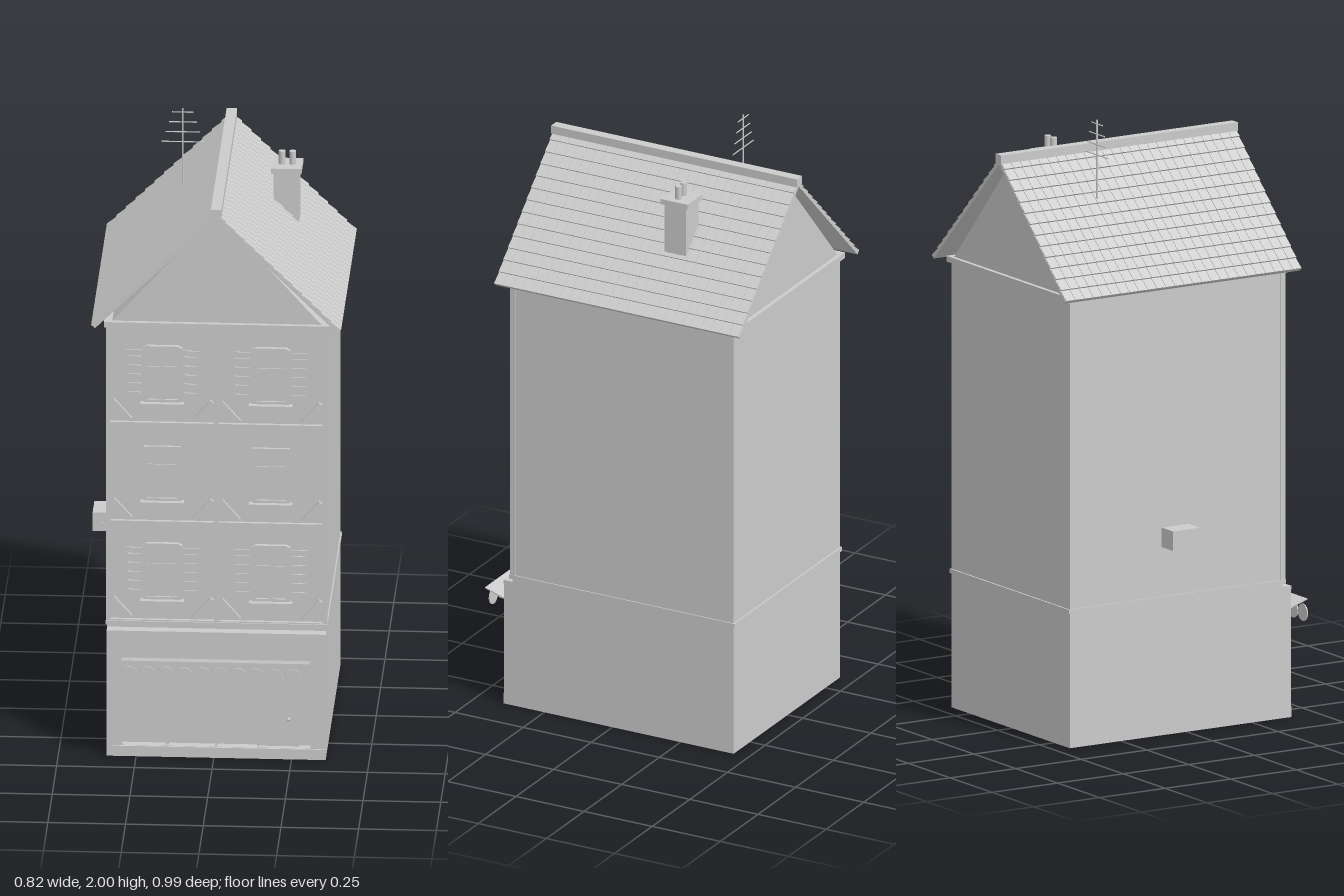
import * as THREE from 'three';
import { mergeGeometries } from 'three/addons/utils/BufferGeometryUtils.js';

const grey = new THREE.MeshStandardMaterial({ color: 0xcccccc });
const CX = 0.008; // centre line of the house

// Box from its lower and upper corners
function boxGeo(x0, x1, y0, y1, z0, z1) {
  return new THREE.BoxGeometry(x1 - x0, y1 - y0, z1 - z0)
    .translate((x0 + x1) / 2, (y0 + y1) / 2, (z0 + z1) / 2);
}

function add(parent, name, geo) {
  const mesh = new THREE.Mesh(Array.isArray(geo) ? mergeGeometries(geo) : geo, grey);
  mesh.name = name;
  parent.add(mesh);
  return mesh;
}

function rect(Type, x0, x1, y0, y1) {
  return new Type([[x0, y0], [x1, y0], [x1, y1], [x0, y1]].map(p => new THREE.Vector2(...p)));
}

// Rectangular frame with an opening, lying between two depths
function frameGeo(outer, inner, z0, z1) {
  const shape = rect(THREE.Shape, ...outer);
  shape.holes.push(rect(THREE.Path, ...inner));
  return new THREE.ExtrudeGeometry(shape, { depth: z1 - z0, bevelEnabled: false }).translate(0, 0, z0);
}

// Square beam between two points in the facade plane
function beamGeo(xa, ya, xb, yb, width, z0, z1) {
  const dx = xb - xa, dy = yb - ya;
  return new THREE.BoxGeometry(Math.hypot(dx, dy), width, z1 - z0)
    .rotateZ(Math.atan2(dy, dx)).translate((xa + xb) / 2, (ya + yb) / 2, (z0 + z1) / 2);
}

function makeWindow(shutters, height) {
  const g = new THREE.Group();
  g.name = 'window';
  const w = 0.054, h = height;
  add(g, 'windowFrame', frameGeo([-w - 0.006, w + 0.006, 0, h], [-w + 0.006, w - 0.006, 0.012, h - 0.012], 0.36, 0.371));
  add(g, 'windowBars', [
    boxGeo(-0.003, 0.003, 0.01, h - 0.01, 0.36, 0.368),
    boxGeo(-w, w, h * 0.64, h * 0.64 + 0.006, 0.36, 0.368),
  ]);
  add(g, 'windowGlass', boxGeo(-w, w, 0.005, h - 0.005, 0.355, 0.364));
  add(g, 'windowSill', boxGeo(-0.07, 0.07, -0.008, 0.003, 0.355, 0.388));
  if (shutters) {
    const lintel = new THREE.Shape([[-0.064, h - 0.004], [0.064, h - 0.004], [0.064, h + 0.004],
      [0.05, h + 0.012], [-0.05, h + 0.012], [-0.064, h + 0.004]].map(p => new THREE.Vector2(...p)));
    add(g, 'lintel', new THREE.ExtrudeGeometry(lintel, { depth: 0.016, bevelEnabled: false }).translate(0, 0, 0.359));
    for (const s of [-1, 1]) {
      const x0 = s > 0 ? 0.062 : -0.119, x1 = x0 + 0.057;
      const parts = [boxGeo(x0, x1, 0.004, h - 0.006, 0.358, 0.366)];
      for (let i = 0; i < 5; i++) {
        const y = 0.012 + i * (h - 0.03) / 5;
        parts.push(boxGeo(x0 + 0.006, x1 - 0.006, y, y + (h - 0.03) / 5 - 0.007, 0.36, 0.371));
      }
      add(g, s > 0 ? 'leftShutter' : 'rightShutter', parts);
    }
  }
  return g;
}

function makeFacade() {
  const g = new THREE.Group();
  g.name = 'facade';
  const floors = [0.455, 0.795, 1.135, 1.472];
  const posts = [-0.341, 0.007, 0.356];
  // Timber posts and rails
  add(g, 'posts', posts.map(x => boxGeo(x - 0.007, x + 0.007, 0.45, 1.475, 0.355, 0.374)));
  add(g, 'rails', floors.map(y => boxGeo(-0.345, 0.36, y - 0.006, y + 0.006, 0.355, 0.373)));
  // Corner braces and windows of every bay
  const braces = [];
  for (let f = 0; f < 3; f++) {
    for (let c = 0; c < 2; c++) {
      const x0 = posts[c] + 0.01, x1 = posts[c + 1] - 0.01, y = floors[f] + 0.01;
      braces.push(beamGeo(x0 + 0.004, y + 0.07, x0 + 0.062, y + 0.004, 0.013, 0.355, 0.373));
      braces.push(beamGeo(x1 - 0.004, y + 0.07, x1 - 0.062, y + 0.004, 0.013, 0.355, 0.373));
      const win = makeWindow(f !== 1, f === 1 ? 0.19 : 0.185);
      win.position.set((x0 + x1) / 2, floors[f] + 0.073, 0);
      g.add(win);
    }
  }
  add(g, 'braces', braces);
  return g;
}

function makeShop() {
  const g = new THREE.Group();
  g.name = 'shopFront';
  add(g, 'shopSurround', frameGeo([-0.333, 0.35, 0, 0.425], [-0.295, 0.31, 0.036, 0.36], 0.36, 0.393));
  add(g, 'plinth', boxGeo(-0.345, 0.36, 0, 0.035, 0.36, 0.4));
  add(g, 'cornerPilasters', [boxGeo(-0.345, -0.328, 0, 0.425, 0.36, 0.398), boxGeo(0.343, 0.36, 0, 0.425, 0.36, 0.398)]);
  add(g, 'fascia', boxGeo(-0.345, 0.36, 0.42, 0.432, 0.36, 0.4));
  add(g, 'shopMullions', [-0.15, 0.007, 0.165].map((x, i) =>
    boxGeo(x - 0.004, x + 0.004, i === 2 ? 0.265 : 0.036, 0.36, 0.36, 0.384)));
  // Door with a round knob
  add(g, 'door', boxGeo(0.145, 0.265, 0.036, 0.262, 0.36, 0.376));
  add(g, 'doorFrame', frameGeo([0.138, 0.272, 0.034, 0.269], [0.145, 0.265, 0.036, 0.262], 0.36, 0.382));
  add(g, 'doorKnob', new THREE.SphereGeometry(0.006, 12, 8).translate(0.24, 0.13, 0.38));
  // Awning tilted up towards the street, with a scalloped edge
  const awning = add(g, 'awning', new THREE.BoxGeometry(0.607, 0.004, 0.112));
  awning.position.set(CX + 0.002, 0.35, 0.44);
  awning.rotation.x = -0.32;
  const discs = [];
  for (let i = 0; i < 10; i++) {
    discs.push(new THREE.CylinderGeometry(0.028, 0.028, 0.004, 24).rotateX(Math.PI / 2)
      .translate(-0.267 + i * 0.0583, 0.319, 0.493));
  }
  add(g, 'awningScallops', discs);
  return g;
}

function makeRoof() {
  const g = new THREE.Group();
  g.name = 'roof';
  const run = 0.4, rise = 0.395, len = Math.hypot(run, rise), angle = Math.atan2(rise, run);
  const rows = 13, cols = 26, z0 = -0.49, z1 = 0.408;
  const step = len / rows, tileW = (z1 - z0) / cols;
  for (const s of [-1, 1]) {
    const side = new THREE.Group();
    side.name = s > 0 ? 'leftRoofSlope' : 'rightRoofSlope';
    // Each slope is made flat along +x, then tilted down from the ridge
    add(side, 'roofDeck', boxGeo(0, len, -0.015, -0.006, z0, z1));
    const tiles = [];
    for (let r = 0; r < rows; r++) {
      for (let c = 0; c < cols; c++) {
        tiles.push(new THREE.BoxGeometry(step * 1.08, 0.005, tileW - 0.003).rotateZ(0.12)
          .translate((r + 0.5) * step, -0.0035, z0 + (c + 0.5) * tileW));
      }
      tiles.push(new THREE.BoxGeometry(step * 1.05, 0.004, z1 - z0).rotateZ(0.12)
        .translate((r + 0.5) * step, -0.005, (z0 + z1) / 2));
    }
    add(side, 'roofTiles', tiles);
    side.rotation.set(0, s > 0 ? 0 : Math.PI, -angle, 'YXZ');
    side.position.set(CX, 1.882, s > 0 ? 0 : z0 + z1);
    g.add(side);
  }
  add(g, 'ridgeCap', boxGeo(CX - 0.017, CX + 0.017, 1.865, 1.893, -0.492, 0.41));
  return g;
}

export function createModel() {
  const model = new THREE.Group();
  model.name = 'townHouse';
  // Walls, bands and gable
  add(model, 'groundFloorWalls', boxGeo(-0.345, 0.36, 0, 0.45, -0.445, 0.366));
  add(model, 'upperWalls', boxGeo(-0.345, 0.36, 0.45, 1.48, -0.445, 0.361));
  add(model, 'floorBand', boxGeo(-0.349, 0.364, 0.443, 0.457, -0.451, 0.377));
  add(model, 'eavesCornice', boxGeo(-0.355, 0.37, 1.468, 1.487, -0.459, 0.38));
  const gable = new THREE.Shape([[-0.33, 1.485], [0.346, 1.485], [CX, 1.862]].map(p => new THREE.Vector2(...p)));
  add(model, 'gable', new THREE.ExtrudeGeometry(gable, { depth: 0.81, bevelEnabled: false }).translate(0, 0, -0.445));
  model.add(makeFacade(), makeShop(), makeRoof());

  // Chimney with two pots
  const chimney = new THREE.Group();
  chimney.name = 'chimney';
  add(chimney, 'chimneyStack', boxGeo(0.163, 0.245, 1.62, 1.822, -0.207, -0.127));
  add(chimney, 'chimneyCap', boxGeo(0.155, 0.253, 1.815, 1.833, -0.217, -0.118));
  add(chimney, 'chimneyPots', [0.188, 0.222].map(x =>
    new THREE.CylinderGeometry(0.011, 0.011, 0.05, 16).translate(x, 1.852, -0.167)));
  model.add(chimney);

  // Aerial: mast with crossbars
  const aerial = new THREE.Group();
  aerial.name = 'aerial';
  add(aerial, 'mast', new THREE.CylinderGeometry(0.003, 0.003, 0.27, 8).translate(-0.134, 1.865, -0.207));
  add(aerial, 'crossbars', [0.068, 0.056, 0.045, 0.034].map((half, i) =>
    new THREE.CylinderGeometry(0.002, 0.002, half * 2, 6).rotateZ(Math.PI / 2)
      .translate(-0.134, 1.885 + i * 0.034, -0.207)));
  model.add(aerial);

  // Wall-mounted box with a small vent
  add(model, 'wallUnit', boxGeo(-0.412, -0.34, 0.62, 0.684, -0.095, 0.007));
  add(model, 'wallUnitVent', [0.645, 0.655].map(y => boxGeo(-0.385, -0.375, y, y + 0.004, 0, 0.009)));
  return model;
}
